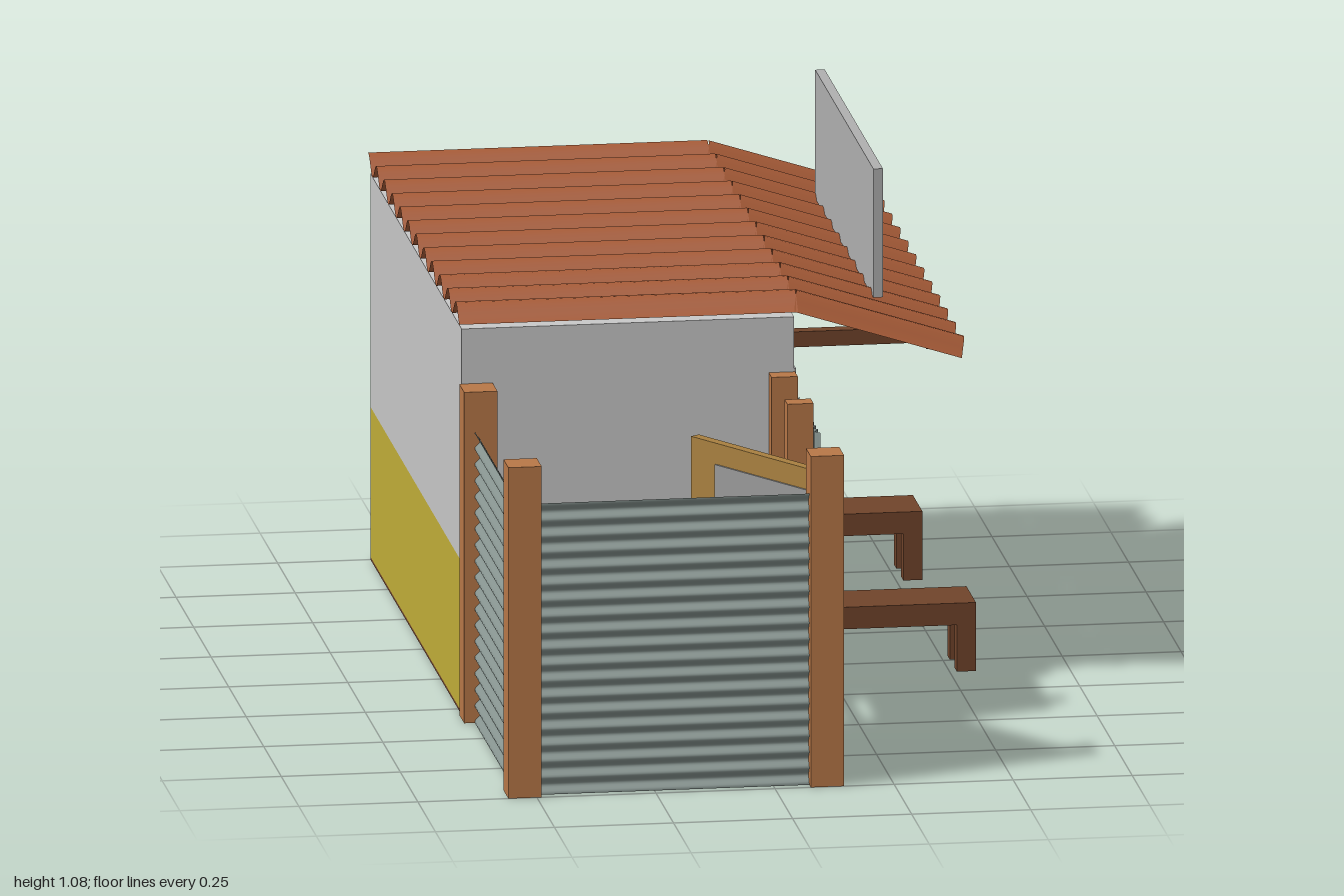
import * as THREE from 'three';

const mat = (name, color, side = THREE.FrontSide) => {
  const m = new THREE.MeshStandardMaterial({ color, side });
  m.name = name;
  return m;
};

export function createModel() {
  const root = new THREE.Group();
  root.name = 'foodStall';

  const roofRed = mat('roof red', 0xa85c38, THREE.DoubleSide);
  const metal = mat('corrugated metal', 0x86938f, THREE.DoubleSide);
  const lightGrey = mat('light wall grey', 0xc8c8c8);
  const grey = mat('front wall grey', 0xb0b0b0);
  const yellow = mat('wall yellow', 0xc0ad38);
  const post = mat('post wood', 0xb87848);
  const brown = mat('dark wood', 0x70442b);
  const gold = mat('door wood', 0xa88040);
  const panel = mat('door panel', 0xa87040);
  const glass = mat('door window', 0x999999);

  // Box given by its min and max on each axis
  const box = (name, m, x0, x1, y0, y1, z0, z1, parent = root) => {
    const mesh = new THREE.Mesh(new THREE.BoxGeometry(x1 - x0, y1 - y0, z1 - z0), m);
    mesh.position.set((x0 + x1) / 2, (y0 + y1) / 2, (z0 + z1) / 2);
    mesh.name = name;
    parent.add(mesh);
    return mesh;
  };

  // Wavy sheet in the xy plane: ripples run along x and repeat along y
  const ripple = (len, span, period, amp, shift = 0) => {
    const g = new THREE.PlaneGeometry(len, span, 1, Math.round(span / period * 10));
    const p = g.attributes.position;
    for (let i = 0; i < p.count; i++) {
      p.setZ(i, amp * Math.cos(2 * Math.PI * (p.getY(i) + shift) / period));
    }
    g.computeVertexNormals();
    return g;
  };
  const sheet = (name, m, geo, x, y, z) => {
    const mesh = new THREE.Mesh(geo, m);
    mesh.position.set(x, y, z);
    mesh.name = name;
    root.add(mesh);
  };

  // Building
  box('floor', brown, -0.555, 0.145, 0, 0.006, -1, 0.3);
  box('lowerWalls', yellow, -0.555, 0.143, 0.006, 0.328, -1, 0.3);
  box('upperWalls', lightGrey, -0.555, 0.143, 0.328, 0.828, -1, 0.3);
  box('streetWall', grey, 0.143, 0.147, 0.006, 0.717, -1, 0.3);

  // Tiled roof: flat part and sloping awning
  const slope = Math.atan2(-0.112, 0.35);
  sheet('roofFlat', roofRed, ripple(0.712, 1.3, 0.1133, 0.019, 0.6).rotateX(-Math.PI / 2), -0.204, 0.855, -0.35);
  sheet('roofAwning', roofRed,
    ripple(0.37, 1.3, 0.1133, 0.019, 0.6).rotateX(-Math.PI / 2).rotateZ(slope), 0.325, 0.799, -0.35);

  // Blank sign board on the awning
  box('signBoard', grey, 0.345, 0.365, 0.8, 1.076, -0.77, 0.06);

  // Awning frame and counter
  for (const z of [0.07, -0.8]) box('awningArm', brown, 0.145, 0.465, 0.71, 0.743, z, z + 0.03);
  box('awningBeam', brown, 0.45, 0.466, 0.696, 0.738, -0.8, 0.1);
  box('counter', brown, 0.145, 0.23, 0.232, 0.26, -0.8, 0.1);

  // Benches
  for (const z of [-0.04, -0.803]) {
    const bench = new THREE.Group();
    bench.name = 'bench';
    root.add(bench);
    box('benchSeat', brown, 0.175, 0.555, 0.1, 0.147, z, z + 0.136, bench);
    for (const x of [0.175, 0.515]) {
      for (const dz of [0, 0.1]) box('benchLeg', brown, x, x + 0.04, 0, 0.1, z + dz, z + dz + 0.036, bench);
    }
  }

  // Yard posts
  for (const [x, z] of [[-0.56, 0.93], [0.075, 0.93], [-0.56, 0.3]]) {
    box('yardPost', post, x, x + 0.07, 0, 0.71, z, z + 0.07);
  }
  for (const z of [0.3, 0.525]) box('gatePost', post, 0.09, 0.145, 0, 0.71, z, z + 0.04);

  // Corrugated fences
  sheet('endFence', metal, ripple(0.575, 0.625, 0.0345, 0.006), -0.2075, 0.3125, 0.973);
  sheet('sideFence', metal, ripple(0.575, 0.625, 0.0345, 0.006).rotateY(-Math.PI / 2), -0.532, 0.3125, 0.6475);
  sheet('shortFence', metal,
    ripple(0.39, 0.3, 0.03, 0.005).rotateZ(Math.PI / 2).rotateY(Math.PI / 2), 0.149, 0.46, 0.45);

  // Slats below the short fence, each a little crooked
  [[0.205, 0.015], [0.128, -0.03], [0.068, 0.04], [0.25, -0.02]].forEach(([y, tilt]) => {
    box('slat', post, 0.143, 0.152, y - 0.019, y + 0.019, 0.3, 0.567).rotation.x = tilt;
  });

  // Open door with painted panels on both faces
  const door = new THREE.Group();
  door.name = 'door';
  door.position.set(0, 0, 0.765);
  door.rotation.y = Math.atan2(0.554, 0.832);
  root.add(door);
  box('doorLeaf', gold, -0.011, 0.011, 0.002, 0.66, -0.198, 0.198, door);
  for (const [a, b] of [[0.011, 0.015], [-0.015, -0.011]]) {
    box('doorWindow', glass, a, b, 0.325, 0.615, -0.12, 0.168, door);
    box('doorPanel', panel, a, b, 0.19, 0.3, -0.125, 0.168, door);
    box('doorKickBoard', brown, a, b, 0.012, 0.117, -0.185, 0.19, door);
    box('doorSideBoard', brown, a, b, 0.117, 0.258, -0.185, -0.125, door);
  }

  return root;
}
